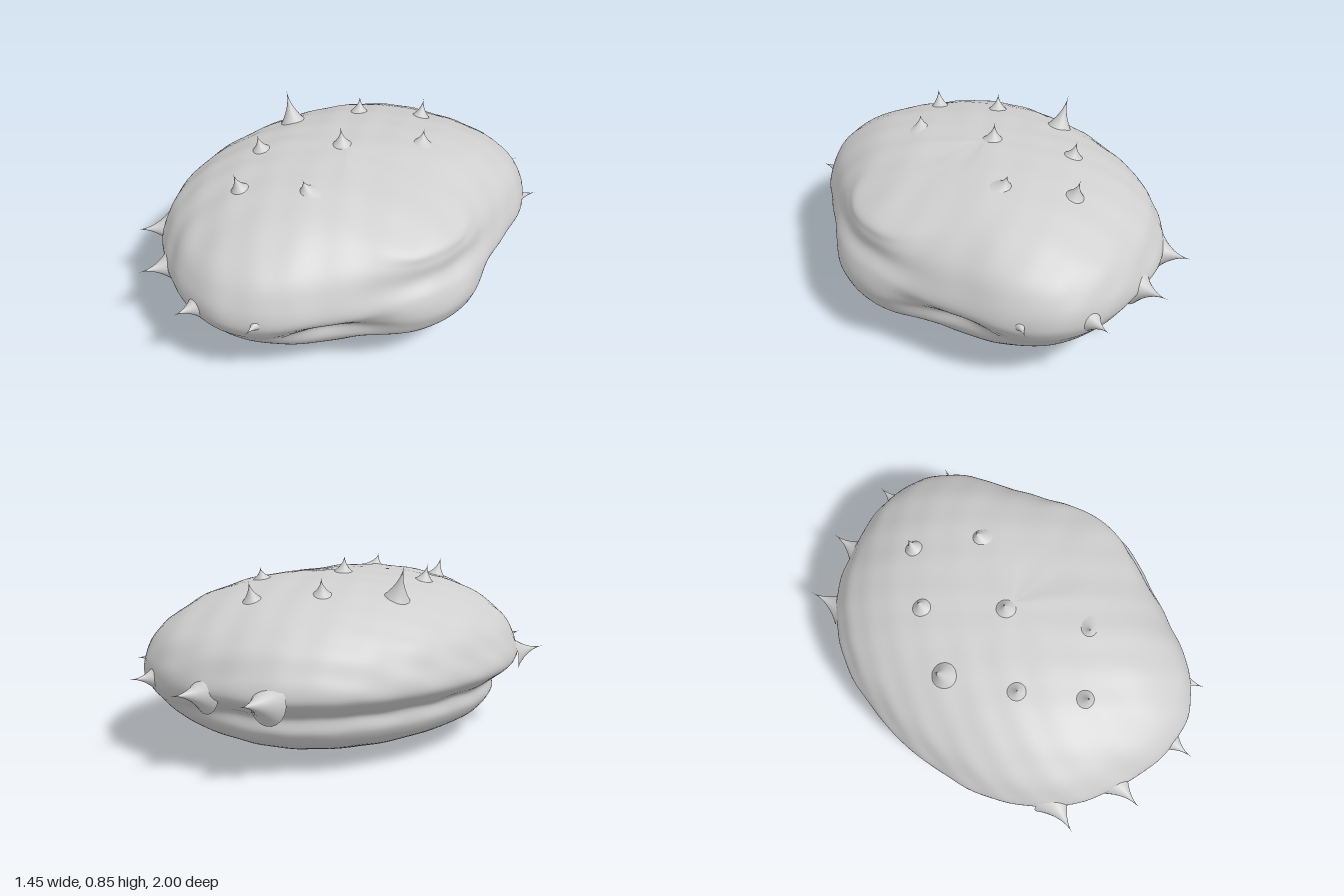
import * as THREE from 'three';
import { mergeVertices } from 'three/addons/utils/BufferGeometryUtils.js';

const { smoothstep } = THREE.MathUtils;
const ROWS = 72, TURNS = 144;

const curve = (values) => new THREE.SplineCurve(values.map((v, i) => new THREE.Vector2(i, v)));

// Outline radius every 15 degrees, from the -x end round to the +x end (mirrored in z)
const outline = curve([0.725, 0.733, 0.77, 0.812, 0.852, 0.87, 0.9, 0.905, 0.84, 0.745, 0.71, 0.718, 0.725]);

// Vertical sections from bottom to top: radius as a share of the outline, and height
const sideHeight = curve([0.004, 0.014, 0.055, 0.125, 0.2, 0.27, 0.31, 0.37, 0.46, 0.57, 0.68, 0.742, 0.765]);
const snoutHeight = curve([0.004, 0.014, 0.075, 0.18, 0.2, 0.28, 0.34, 0.41, 0.47, 0.54, 0.605, 0.708, 0.765]);
const lippedRadius = curve([0, 0.28, 0.55, 0.77, 0.86, 0.86, 0.925, 1, 0.97, 0.88, 0.67, 0.38, 0]);
const roundRadius = curve([0, 0.28, 0.55, 0.75, 0.87, 0.94, 0.975, 1, 0.98, 0.89, 0.67, 0.38, 0]);
const snoutRadius = curve([0, 0.28, 0.55, 0.76, 0.92, 0.99, 1, 0.97, 0.91, 0.9, 0.84, 0.5, 0]);

// Surface point at a turn about the vertical and a share t of the way up the section
function shellPoint(turn, t) {
  const x = Math.sin(turn), z = Math.cos(turn);
  const degrees = THREE.MathUtils.radToDeg(Math.atan2(Math.abs(z), -x));
  const snout = smoothstep(degrees, 135, 172);
  const round = smoothstep(degrees, 68, 94) * (1 - smoothstep(degrees, 114, 134));
  const lipped = 1 - snout - round;
  const share = lipped * lippedRadius.getPoint(t).y + round * roundRadius.getPoint(t).y + snout * snoutRadius.getPoint(t).y;
  const r = Math.max(share, 0) * outline.getPoint(degrees / 180).y;
  const y = THREE.MathUtils.lerp(sideHeight.getPoint(t).y, snoutHeight.getPoint(t).y, snout);
  // Gentle unevenness of the surface
  const bump = 0.003 * Math.sin(r * x * 27 + y * 19) * Math.sin(r * z * 25 + y * 13);
  return [r * x * (1 + bump), Math.max(0, y + bump), r * z * (1 + bump)];
}

// Lathe blank reshaped into the shell
function createBody(material) {
  const blank = Array.from({ length: ROWS + 1 }, (_, j) => new THREE.Vector2(1, j / ROWS));
  const geometry = new THREE.LatheGeometry(blank, TURNS);
  for (let i = 0; i <= TURNS; i++) {
    for (let j = 0; j <= ROWS; j++) {
      const turn = (i % TURNS) / TURNS * Math.PI * 2;
      geometry.attributes.position.setXYZ(i * (ROWS + 1) + j, ...shellPoint(turn, j / ROWS));
    }
  }
  geometry.deleteAttribute('normal');
  geometry.deleteAttribute('uv');
  const smooth = mergeVertices(geometry, 1e-5);
  smooth.computeVertexNormals();
  const body = new THREE.Mesh(smooth, material);
  body.name = 'shell';
  return body;
}

// Thorn with a flared foot, running from base to tip
function createSpike(name, base, tip, width, material) {
  const length = base.distanceTo(tip);
  const steps = 8;
  const profile = Array.from({ length: steps + 1 }, (_, i) =>
    new THREE.Vector2(1.25 * width * (1 - i / steps) ** 2.1, length * i / steps));
  const spike = new THREE.Mesh(new THREE.LatheGeometry(profile, 20), material);
  spike.position.copy(base);
  spike.quaternion.setFromUnitVectors(new THREE.Vector3(0, 1, 0), tip.clone().sub(base).normalize());
  spike.name = name;
  return spike;
}

export function createModel() {
  const model = new THREE.Group();
  model.name = 'spikedShell';
  const grey = new THREE.MeshStandardMaterial({ color: 0xcfcfcf });
  grey.name = 'shellGrey';
  model.add(createBody(grey));

  const at = (x, y, z) => new THREE.Vector3(x, y, z);

  // Spikes along the middle of the back
  model.add(createSpike('tallTopSpike', at(-0.42, 0.68, 0), at(-0.475, 0.85, 0), 0.06, grey));
  model.add(createSpike('middleTopSpike', at(-0.04, 0.745, 0), at(-0.05, 0.84, 0), 0.05, grey));

  // Spikes mirrored front and back
  for (const side of [1, -1]) {
    const addSpike = (name, base, tip, width) => {
      base.z *= side;
      tip.z *= side;
      model.add(createSpike(name, base, tip, width, grey));
    };
    addSpike('topSpike', at(-0.27, 0.7, 0.28), at(-0.285, 0.8, 0.295), 0.06);
    addSpike('topSpike', at(-0.09, 0.675, 0.51), at(-0.1, 0.785, 0.54), 0.055);
    addSpike('topSpike', at(0.14, 0.715, 0.32), at(0.13, 0.795, 0.34), 0.06);
    addSpike('rimSpike', at(-0.45, 0.36, 0.67), at(-0.505, 0.385, 0.835), 0.075);
    addSpike('rimSpike', at(-0.2, 0.365, 0.81), at(-0.22, 0.385, 0.98), 0.07);
    addSpike('rimSpike', at(0.11, 0.37, 0.86), at(0.115, 0.38, 1), 0.06);
    addSpike('rimSpike', at(0.34, 0.38, 0.67), at(0.405, 0.39, 0.835), 0.1);
  }
  return model;
}
